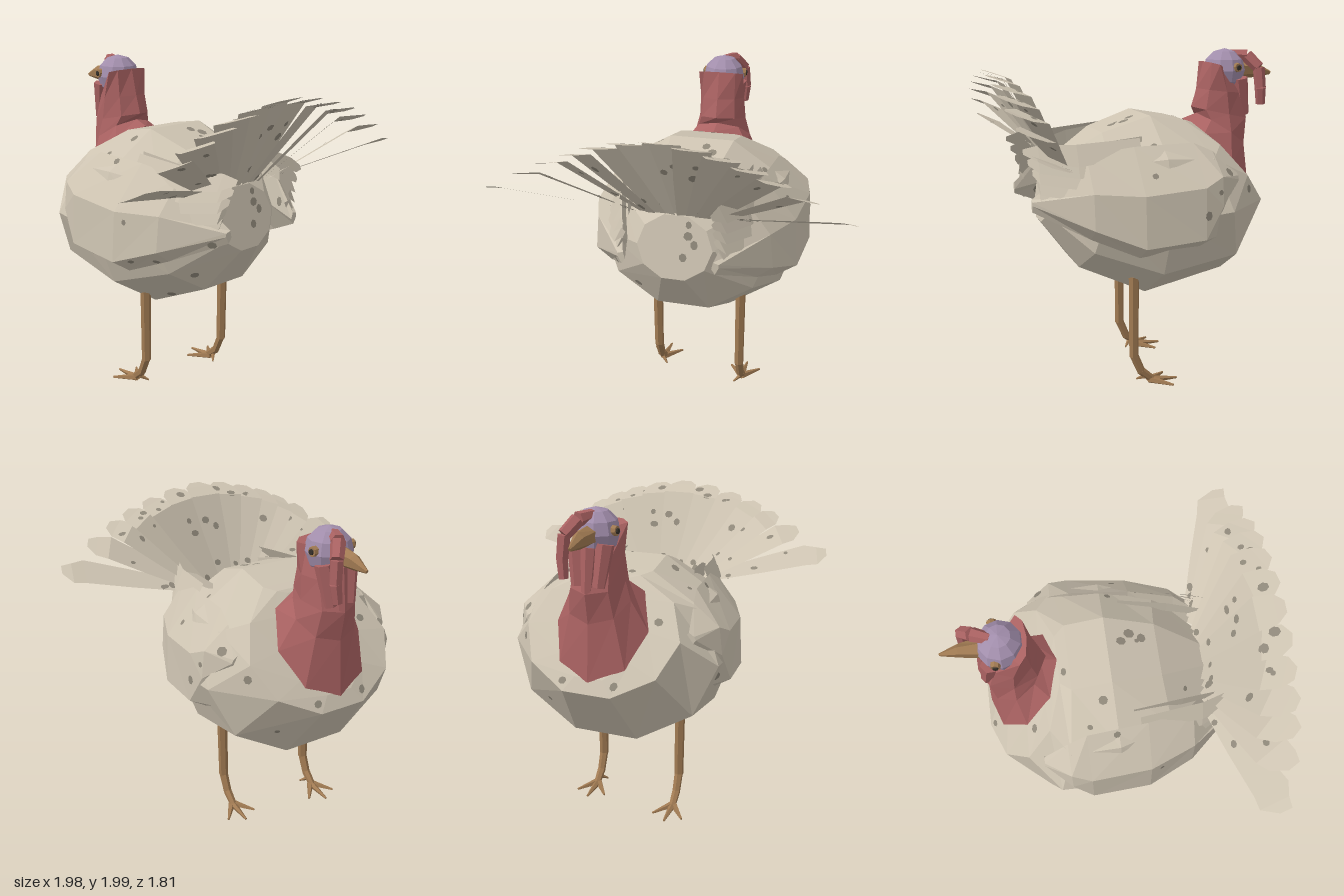
import * as THREE from 'three';

const mat = (name, color, side = THREE.FrontSide) => {
  const m = new THREE.MeshStandardMaterial({ color, side, flatShading: true });
  m.name = name;
  return m;
};
const V = (x, y, z) => new THREE.Vector3(x, y, z);

// Surface through closed rings of points, running from +z to -z (or upwards)
function loft(rings, flip = false) {
  const pos = [];
  const tri = (a, b, c) => (flip ? [a, c, b] : [a, b, c]).forEach(p => pos.push(p.x, p.y, p.z));
  const n = rings[0].length;
  const mid = r => r.reduce((s, p) => s.add(p), V(0, 0, 0)).divideScalar(n);
  const last = rings[rings.length - 1], c0 = mid(rings[0]), c1 = mid(last);
  for (let j = 0; j < n; j++) {
    const k = (j + 1) % n;
    tri(c0, rings[0][k], rings[0][j]);
    tri(c1, last[j], last[k]);
    for (let i = 0; i + 1 < rings.length; i++) {
      tri(rings[i][j], rings[i][k], rings[i + 1][k]);
      tri(rings[i][j], rings[i + 1][k], rings[i + 1][j]);
    }
  }
  return finish(pos);
}

function finish(pos) {
  const g = new THREE.BufferGeometry();
  g.setAttribute('position', new THREE.Float32BufferAttribute(pos, 3));
  g.computeVertexNormals();
  return g;
}

// Tilted elliptical ring from its top point, bottom point and half width
function ring([ty, tz, by, bz, hw], sides, flatTop) {
  const off = flatTop ? 0.5 : 0, k = flatTop ? 1 / Math.cos(Math.PI / sides) : 1;
  return Array.from({ length: sides }, (_, i) => {
    const a = (i + off) * 2 * Math.PI / sides, c = Math.cos(a) * k / 2;
    return V(hw * Math.sin(a), (ty + by) / 2 + (ty - by) * c, (tz + bz) / 2 + (tz - bz) * c);
  });
}

// Flat feather: a strip of the given widths along a path
function feather(path, widths, across) {
  const pos = [];
  const rows = path.map((p, i) => [-1, 1].map(s => p.clone().addScaledVector(across, s * widths[i] / 2)));
  for (let i = 0; i + 1 < rows.length; i++) {
    const [a, b] = rows[i], [d, c] = rows[i + 1];
    [a, b, c, a, c, d].forEach(p => pos.push(p.x, p.y, p.z));
  }
  return finish(pos);
}

export function createModel() {
  const model = new THREE.Group();
  model.name = 'turkey';
  const plumage = mat('plumage', 0xcdc3b1);
  const featherMat = mat('feather', 0xcdc3b1, THREE.DoubleSide);
  const spotMat = mat('spot', 0x8f887a, THREE.DoubleSide);
  const red = mat('wattle red', 0xaa6262);
  const purple = mat('head purple', 0xa28eac);
  const horn = mat('horn brown', 0xa07a52);
  const dark = mat('eye dark', 0x35302a);

  const add = (name, geo, m, parent = model) => {
    const mesh = new THREE.Mesh(geo, m);
    mesh.name = name;
    parent.add(mesh);
    return mesh;
  };
  // Tapered bar between two points
  const limb = (name, a, b, r0, r1, m, sides = 6, parent = model) => {
    const mesh = add(name, new THREE.CylinderGeometry(r1, r0, a.distanceTo(b), sides), m, parent);
    mesh.position.copy(a).lerp(b, 0.5);
    mesh.quaternion.setFromUnitVectors(V(0, 1, 0), b.clone().sub(a).normalize());
    return mesh;
  };
  // Thin speckles scattered on the larger faces
  let seed = 11;
  const rnd = () => (seed = (seed * 16807) % 2147483647) / 2147483647;
  const speckle = (geo, count, sides = [1]) => {
    const p = geo.attributes.position, faces = [];
    for (let i = 0; i < p.count; i += 3) {
      const t = new THREE.Triangle(...[0, 1, 2].map(k => V().fromBufferAttribute(p, i + k)));
      if (t.getArea() > 0.008) faces.push(t);
    }
    for (let i = 0; i < count && faces.length; i++) {
      const t = faces[Math.floor(rnd() * faces.length)], n = t.getNormal(V());
      const w = [0.2 + rnd(), 0.2 + rnd(), 0.2 + rnd()], sum = w[0] + w[1] + w[2];
      const at = V(0, 0, 0).addScaledVector(t.a, w[0] / sum).addScaledVector(t.b, w[1] / sum).addScaledVector(t.c, w[2] / sum);
      const r = 0.013 + 0.016 * rnd();
      for (const s of sides) {
        const spot = add('spot', new THREE.CircleGeometry(r, 7), spotMat);
        spot.position.copy(at).addScaledVector(n, 0.004 * s);
        spot.quaternion.setFromUnitVectors(V(0, 0, 1), n);
        spot.scale.y = 0.7 + 0.6 * rnd();
      }
    }
  };

  // Body, from rump to collar
  const body = loft([
    [1.37, 0.52, 1.02, 0.6, 0.215], [1.54, 0.25, 0.75, 0.4, 0.5], [1.63, -0.03, 0.565, 0, 0.62],
    [1.59, -0.25, 0.67, -0.5, 0.62], [1.575, -0.31, 1.02, -0.76, 0.45], [1.56, -0.33, 1.1, -0.72, 0.26],
  ].map(r => ring(r, 10, true)), false);
  add('body', body, plumage);
  speckle(body, 34);

  // Neck and hood behind the head
  add('neck', loft([
    [1.58, -0.31, 1.08, -0.735, 0.27], [1.61, -0.4, 1.4, -0.71, 0.18], [1.65, -0.365, 1.57, -0.74, 0.15],
    [1.76, -0.4, 1.73, -0.68, 0.14], [1.92, -0.44, 1.89, -0.54, 0.14],
  ].map(r => ring(r, 8, false))), red);

  // Head, eyes and beak
  add('head', new THREE.SphereGeometry(0.13, 10, 6), purple).position.set(0, 1.865, -0.58);
  for (const s of [-1, 1]) {
    limb('eyeRim', V(s * 0.1, 1.885, -0.61), V(s * 0.132, 1.885, -0.615), 0.03, 0.026, horn, 8);
    limb('eye', V(s * 0.12, 1.885, -0.613), V(s * 0.14, 1.885, -0.616), 0.018, 0.014, dark, 8);
  }
  add('beak', loft([
    [1.92, -0.66, 1.81, -0.66, 0.06], [1.905, -0.8, 1.815, -0.78, 0.035], [1.85, -0.9, 1.83, -0.89, 0.008],
  ].map(r => ring(r, 6, false))), horn);

  // Snood drooping over one side, and the wattles
  const snood = [V(0, 1.96, -0.62), V(0.04, 1.95, -0.71), V(0.09, 1.88, -0.77), V(0.1, 1.76, -0.78), V(0.09, 1.66, -0.79)];
  const snoodR = [0.03, 0.04, 0.036, 0.034, 0.028];
  for (let i = 0; i < 4; i++) limb('snood', snood[i], snood[i + 1], snoodR[i], snoodR[i + 1], red);
  limb('wattle', V(0, 1.8, -0.67), V(0, 1.57, -0.71), 0.045, 0.03, red);
  for (const s of [-1, 1]) limb('sideWattle', V(s * 0.08, 1.82, -0.65), V(s * 0.06, 1.6, -0.69), 0.05, 0.035, red);

  // Wings: top edge, shoulder, lower edge, underside, inside
  for (const s of [1, -1]) {
    const wing = loft([
      [0.69, [0.25, 1.2], [0.28, 1.19], [0.28, 1.17], [0.26, 1.13], [0.24, 1.16]],
      [0.4, [0.35, 1.45], [0.5, 1.26], [0.52, 1.06], [0.43, 0.99], [0.32, 1.2]],
      [0.14, [0.4, 1.49], [0.6, 1.25], [0.62, 0.96], [0.5, 0.88], [0.4, 1.15]],
      [-0.2, [0.43, 1.5], [0.63, 1.28], [0.645, 0.99], [0.53, 0.92], [0.42, 1.15]],
      [-0.31, [0.45, 1.45], [0.6, 1.33], [0.62, 1.17], [0.55, 0.98], [0.42, 1.2]],
      [-0.45, [0.47, 1.33], [0.5, 1.31], [0.51, 1.29], [0.49, 1.26], [0.45, 1.3]],
    ].map(([z, ...pts]) => pts.map(([x, y]) => V(s * x, y, z))), s < 0);
    add(s > 0 ? 'leftWing' : 'rightWing', wing, plumage);
    speckle(wing, 9);
    // Layered flight feathers at the wing tip
    for (let i = 0; i < 5; i++) {
      const y = 1.46 - i * 0.06, out = i * 0.018;
      add('wingFeather', feather(
        [V(s * (0.4 + out * 2), y + 0.03 - i * 0.02, 0.1), V(s * (0.36 + out), y - 0.01, 0.45), V(s * 0.29, y, 0.65), V(s * 0.25, y + 0.01, 0.73 - i * 0.025)],
        [0.1, 0.13, 0.1, 0.03], V(s * 0.45, -0.89, 0)), featherMat);
    }
    add('wingTopFeather', feather([V(s * 0.33, 1.52, 0.07), V(s * 0.29, 1.45, 0.35), V(s * 0.25, 1.4, 0.58)],
      [0.03, 0.1, 0.07], V(0, 1, 0)), featherMat);
  }

  // Tail fan: feather tips from the middle outwards, mirrored
  const tips = [[0, 1.9, 0.9], [0.18, 1.88, 0.9], [0.35, 1.84, 0.89], [0.5, 1.79, 0.88], [0.63, 1.73, 0.86], [0.78, 1.65, 0.83], [0.98, 1.53, 0.77]];
  tips.forEach(([x, y, z], i) => {
    for (const s of i ? [1, -1] : [1]) {
      const t = i / 6, a = t * 1.35, k = (i % 2) * 0.008;
      const base = V(s * 0.29 * t, 1.36 + 0.01 * t, 0.5 + k);
      const bend = V(s * x * 0.87, y - 0.05 + 0.03 * t, 0.75 - 0.03 * t + k);
      const across = V(s * Math.cos(a), -0.4 * Math.sin(a), -0.85 * Math.sin(a)).normalize();
      const geo = feather(
        [base, base.clone().lerp(bend, 0.55), bend, V(s * x * 0.95, y - 0.015, z - 0.05), V(s * x, y, z)],
        [0.09, 0.16, 0.2, 0.17, 0.07], across);
      add('tailFeather', geo, featherMat);
      speckle(geo, 3, [1, -1]);
    }
  });

  // Legs stand slightly staggered, each with three front toes and a short spur
  for (const [s, z] of [[1, 0.1], [-1, 0.01]]) {
    const leg = new THREE.Group();
    leg.name = s > 0 ? 'leftLeg' : 'rightLeg';
    leg.position.set(s * 0.28, 0, z);
    model.add(leg);
    limb('shank', V(0, 0.7, 0), V(0, 0.19, 0), 0.032, 0.029, horn, 6, leg);
    limb('ankle', V(0, 0.2, 0), V(0, 0.08, -0.05), 0.027, 0.025, horn, 6, leg);
    limb('foot', V(0, 0.09, -0.045), V(0, 0.025, -0.12), 0.026, 0.022, horn, 6, leg);
    for (const x of [-0.095, 0, 0.095]) {
      const toe = limb('toe', V(0, 0.025, -0.1), V(x, 0.01, -0.28 + Math.abs(x) * 0.6), 0.024, 0.007, horn, 5, leg);
      toe.name = x ? 'sideToe' : 'middleToe';
    }
    limb('spur', V(0, 0.05, -0.07), V(-s * 0.04, 0.02, -0.03), 0.016, 0.005, horn, 5, leg);
  }
  return model;
}
